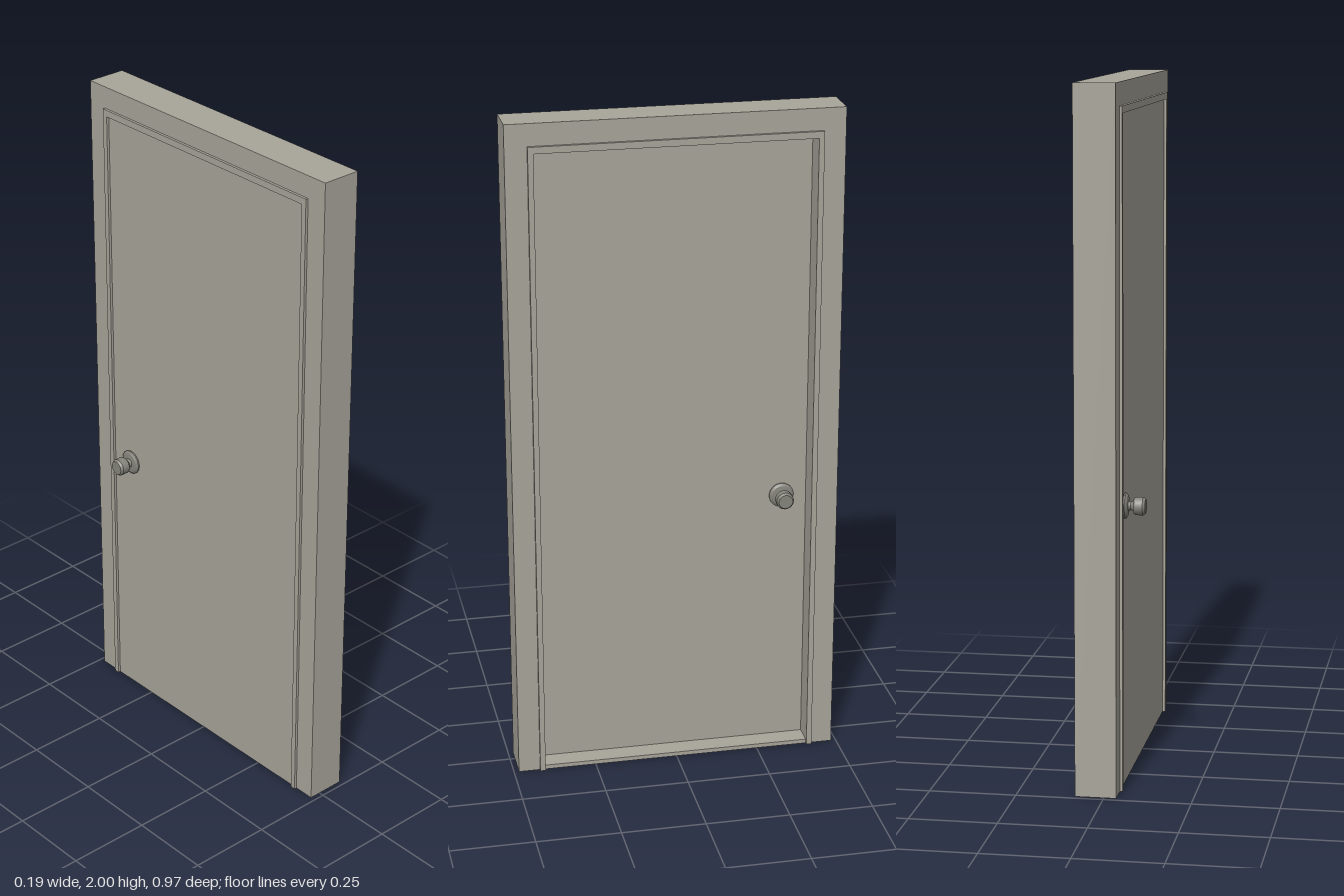
import * as THREE from 'three';

const paint = new THREE.MeshStandardMaterial({ color: 0xa8a59a });
paint.name = 'warm grey paint';
const metal = new THREE.MeshStandardMaterial({ color: 0x85847c });
metal.name = 'dull grey metal';

// Doorway-shaped arch, open at the bottom, spanning x0..x1 in depth
function archway(name, halfOuter, topOuter, halfInner, topInner, x0, x1) {
  const shape = new THREE.Shape([
    [-halfOuter, 0], [-halfInner, 0], [-halfInner, topInner], [halfInner, topInner],
    [halfInner, 0], [halfOuter, 0], [halfOuter, topOuter], [-halfOuter, topOuter],
  ].map(([x, y]) => new THREE.Vector2(x, y)));
  const geo = new THREE.ExtrudeGeometry(shape, { depth: x1 - x0, bevelEnabled: false });
  geo.rotateY(Math.PI / 2);
  geo.translate(x0, 0, 0);
  const mesh = new THREE.Mesh(geo, paint);
  mesh.name = name;
  return mesh;
}

function slab(name, x0, x1, y0, y1, halfZ) {
  const mesh = new THREE.Mesh(new THREE.BoxGeometry(x1 - x0, y1 - y0, halfZ * 2), paint);
  mesh.position.set((x0 + x1) / 2, (y0 + y1) / 2, 0);
  mesh.name = name;
  return mesh;
}

// Rosette, neck and bevelled grip, pointing out along side * x
function knob(name, x, side) {
  const profile = [
    [0, 0], [0.037, 0], [0.037, 0.004], [0.03, 0.009], [0.014, 0.011], [0.012, 0.018],
    [0.016, 0.026], [0.023, 0.027], [0.026, 0.032], [0.026, 0.053], [0.021, 0.06], [0, 0.06],
  ].map(([r, h]) => new THREE.Vector2(r, h));
  const group = new THREE.Group();
  group.name = name;
  // Each band is its own lathe so that the edges between bands stay sharp
  for (let i = 0; i < profile.length - 1; i++) {
    const band = new THREE.Mesh(new THREE.LatheGeometry([profile[i], profile[i + 1]], 24), metal);
    band.name = 'knobBand';
    group.add(band);
  }
  group.rotation.z = -side * Math.PI / 2;
  group.position.set(x, 0.81, -0.33);
  return group;
}

export function createModel() {
  const door = new THREE.Group();
  door.name = 'door';
  door.add(
    archway('wallSurround', 0.485, 2, 0.421, 1.935, -0.035, 0.083),
    archway('doorFrame', 0.421, 1.935, 0.405, 1.915, -0.043, 0.092),
    slab('threshold', -0.035, 0.083, 0, 0.013, 0.405),
    slab('doorLeaf', -0.035, 0.02, 0.013, 1.915, 0.405),
    knob('outerKnob', -0.035, -1),
    knob('innerKnob', 0.02, 1),
  );
  return door;
}
